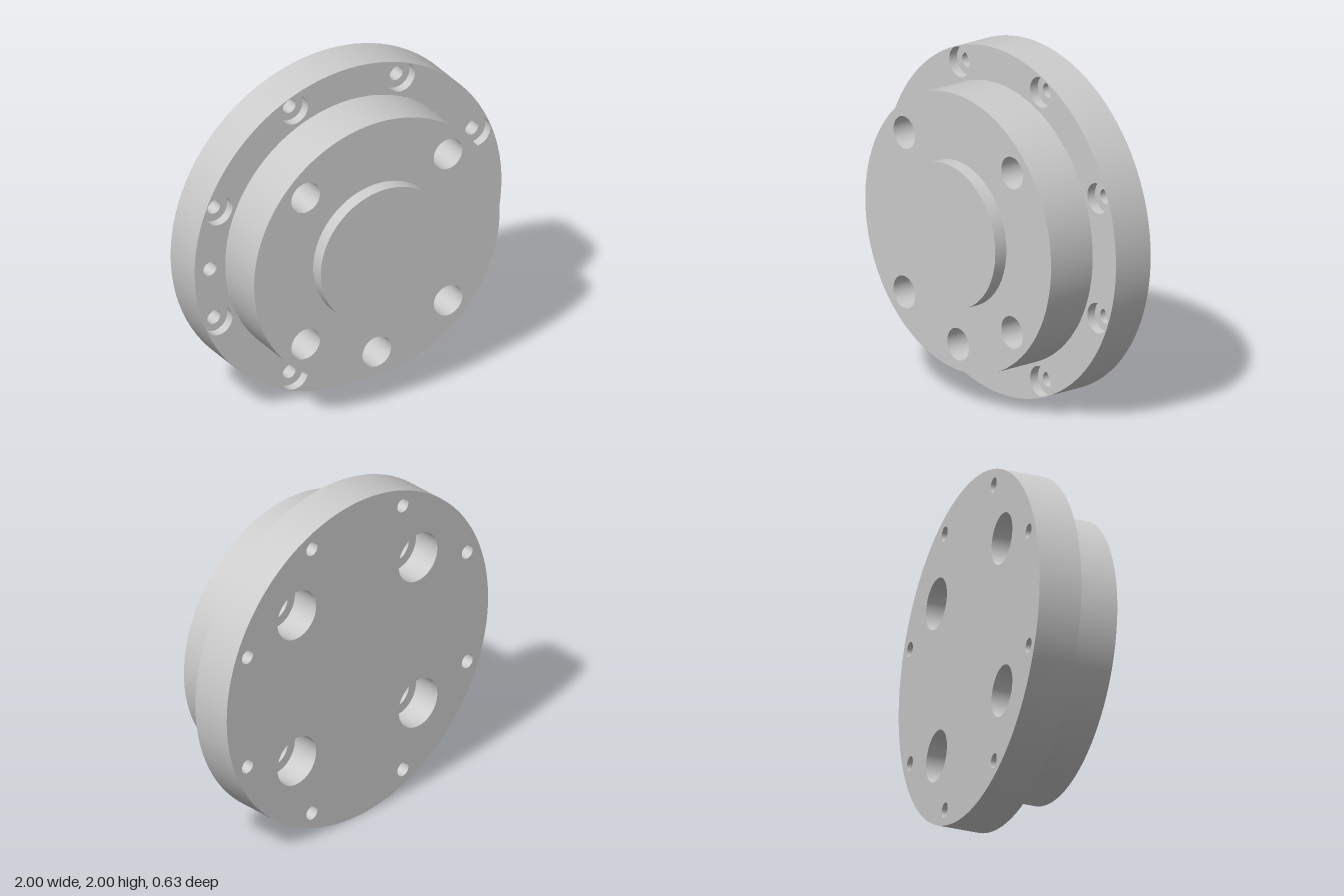
import * as THREE from 'three';
import { mergeGeometries } from 'three/addons/utils/BufferGeometryUtils.js';

const SEG = 96;
const BACK = -0.315, STEP = -0.065, FACE = 0.235, FRONT = 0.315;
const R_FLANGE = 1, R_BODY = 0.8, R_BOSS = 0.415;

// Turned surface along z: each [radius, z] segment is separate, so edges stay sharp.
// Rising z faces outward; falling z faces inward (bores).
function turned(profile, x = 0, y = 0) {
  const parts = [];
  for (let i = 0; i < profile.length - 1; i++) {
    const pts = [profile[i], profile[i + 1]].map(([r, z]) => new THREE.Vector2(r, z));
    parts.push(new THREE.LatheGeometry(pts, SEG));
  }
  return mergeGeometries(parts).rotateX(Math.PI / 2).translate(x, y, 0);
}

// Flat disc with round holes given as [x, y, radius]
function plate(radius, z, holes, facingBack = false) {
  const shape = new THREE.Shape().absarc(0, 0, radius, 0, Math.PI * 2, false);
  for (const [x, y, r] of holes) {
    shape.holes.push(new THREE.Path().absarc(facingBack ? -x : x, y, r, 0, Math.PI * 2, true));
  }
  const geometry = new THREE.ShapeGeometry(shape, SEG);
  if (facingBack) geometry.rotateY(Math.PI);
  return geometry.translate(0, 0, z);
}

// Evenly spaced positions on a circle
function ring(count, radius) {
  return Array.from({ length: count }, (_, i) => {
    const a = ((i + 0.5) / count) * Math.PI * 2;
    return [radius * Math.cos(a), radius * Math.sin(a)];
  });
}

export function createModel() {
  const model = new THREE.Group();
  const material = new THREE.MeshStandardMaterial({ color: 0xcccccc });
  const add = (name, ...geometries) => {
    const mesh = new THREE.Mesh(mergeGeometries(geometries), material);
    mesh.name = name;
    mesh.position.y = 1;
    model.add(mesh);
  };

  const bolts = ring(8, 0.91);
  const screws = ring(4, 0.656);
  const boltR = 0.042, boltHeadR = 0.087;
  const screwR = 0.093, screwHeadR = 0.148;
  const dowel = [0, -0.65, 0.093];
  const pin = [-0.9, 0, 0.042];
  const sized = (points, r) => points.map(([x, y]) => [x, y, r]);

  // Mounting flange: rim, stepped front ring and back face
  add('flange',
    turned([[R_FLANGE, BACK], [R_FLANGE, STEP]]),
    plate(R_FLANGE, STEP, [[0, 0, R_BODY], ...sized(bolts, boltHeadR), pin]),
    plate(R_FLANGE, BACK, [...sized(bolts, boltR), ...sized(screws, screwHeadR)], true));

  // Raised body
  add('body',
    turned([[R_BODY, STEP], [R_BODY, FACE]]),
    plate(R_BODY, FACE, [[0, 0, R_BOSS], ...sized(screws, screwR), dowel]));

  // Central locating boss
  add('boss',
    turned([[R_BOSS, FACE], [R_BOSS, FRONT]]),
    plate(R_BOSS, FRONT, []));

  // Flange bolt holes, counterbored from the front
  add('boltHoles', ...bolts.map(([x, y]) => turned([
    [boltHeadR, STEP], [boltHeadR, STEP - 0.055], [boltR, STEP - 0.055], [boltR, BACK],
  ], x, y)));

  // Large screw holes, counterbored from the back
  add('screwHoles', ...screws.map(([x, y]) => turned([
    [screwR, FACE], [screwR, BACK + 0.17], [screwHeadR, BACK + 0.17], [screwHeadR, BACK],
  ], x, y)));

  // Blind holes
  const blind = ([x, y, r], top, depth) =>
    turned([[r, top], [r, top - depth], [0, top - depth]], x, y);
  add('dowelHole', blind(dowel, FACE, 0.3));
  add('pinHole', blind(pin, STEP, 0.13));

  return model;
}
